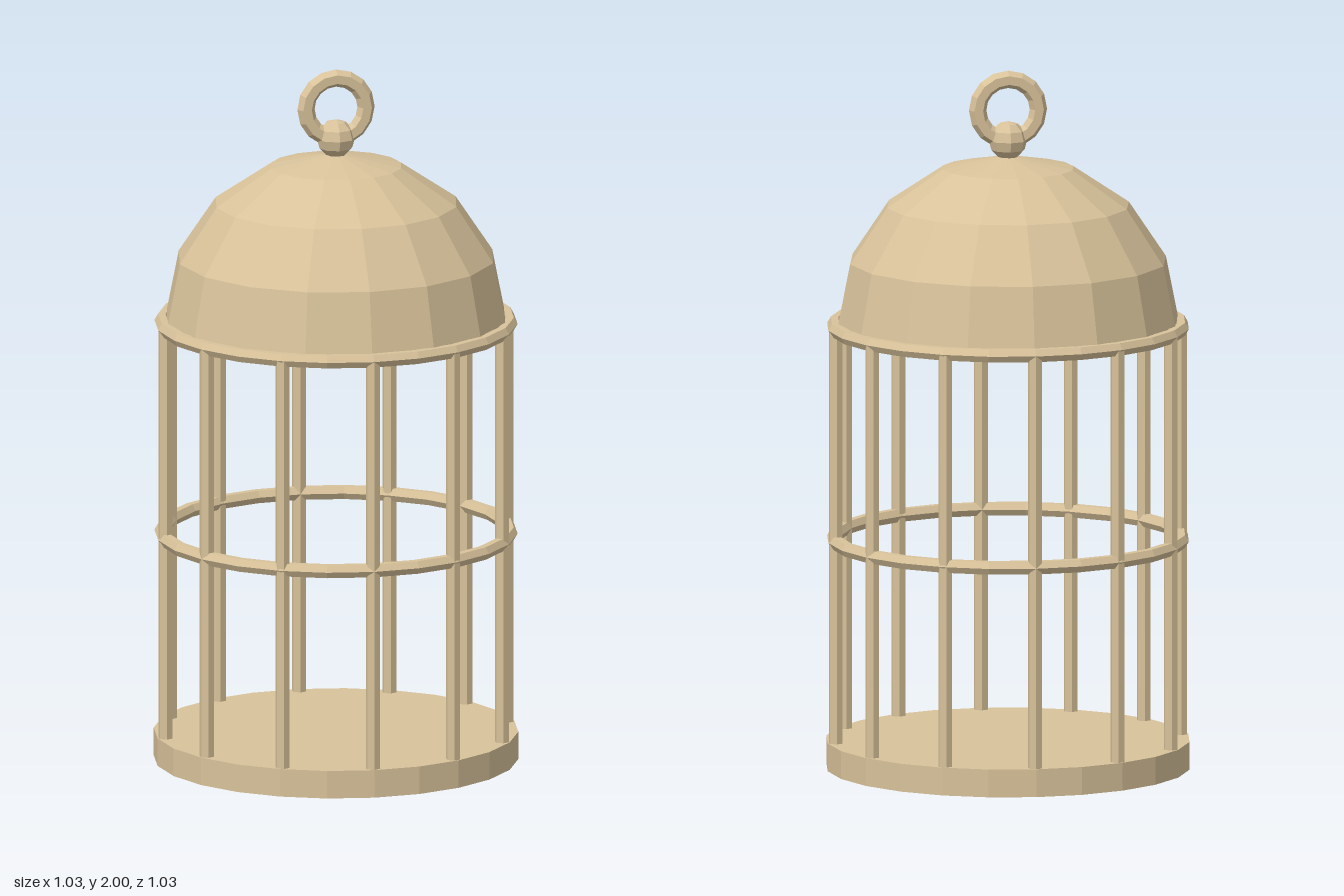
import * as THREE from 'three';

const material = new THREE.MeshStandardMaterial({ color: 0xd8c29a, flatShading: true });

const BAR_COUNT = 12;
const CAGE_RADIUS = 0.494;
const WIRE = 0.021;
const BASE_HEIGHT = 0.08;
const DOME_Y = 1.268;

export function createModel() {
  const model = new THREE.Group();
  model.name = 'birdcage';

  const add = (name, geometry, y, parent = model) => {
    const mesh = new THREE.Mesh(geometry, material);
    mesh.name = name;
    mesh.position.y = y;
    parent.add(mesh);
    return mesh;
  };

  // Floor tray
  add('base', new THREE.CylinderGeometry(0.517, 0.517, BASE_HEIGHT, 24), BASE_HEIGHT / 2);

  // Upright bars, from just inside the tray to the upper hoop
  const bars = new THREE.Group();
  bars.name = 'bars';
  model.add(bars);
  const barBottom = BASE_HEIGHT - 0.02;
  const barGeometry = new THREE.CylinderGeometry(WIRE, WIRE, DOME_Y - barBottom, 6);
  for (let i = 0; i < BAR_COUNT; i++) {
    const angle = (i / BAR_COUNT) * Math.PI * 2;
    const bar = add('bar', barGeometry, (DOME_Y + barBottom) / 2, bars);
    bar.position.x = Math.cos(angle) * CAGE_RADIUS;
    bar.position.z = Math.sin(angle) * CAGE_RADIUS;
  }

  // Horizontal hoops
  const hoopGeometry = new THREE.TorusGeometry(CAGE_RADIUS, WIRE, 6, 24).rotateX(Math.PI / 2);
  add('middleHoop', hoopGeometry, 0.656);
  add('upperHoop', hoopGeometry, 1.266);

  // Domed roof with a closed underside
  add('dome', new THREE.SphereGeometry(0.49, 16, 4, 0, Math.PI * 2, 0, Math.PI / 2), DOME_Y);
  add('domeUnderside', new THREE.CircleGeometry(0.49, 16).rotateX(Math.PI / 2), DOME_Y);

  // Knob and hanging ring
  add('knob', new THREE.SphereGeometry(0.055, 8, 6), 1.8);
  add('hangingRing', new THREE.TorusGeometry(0.087, 0.025, 6, 16), 1.888);

  return model;
}
